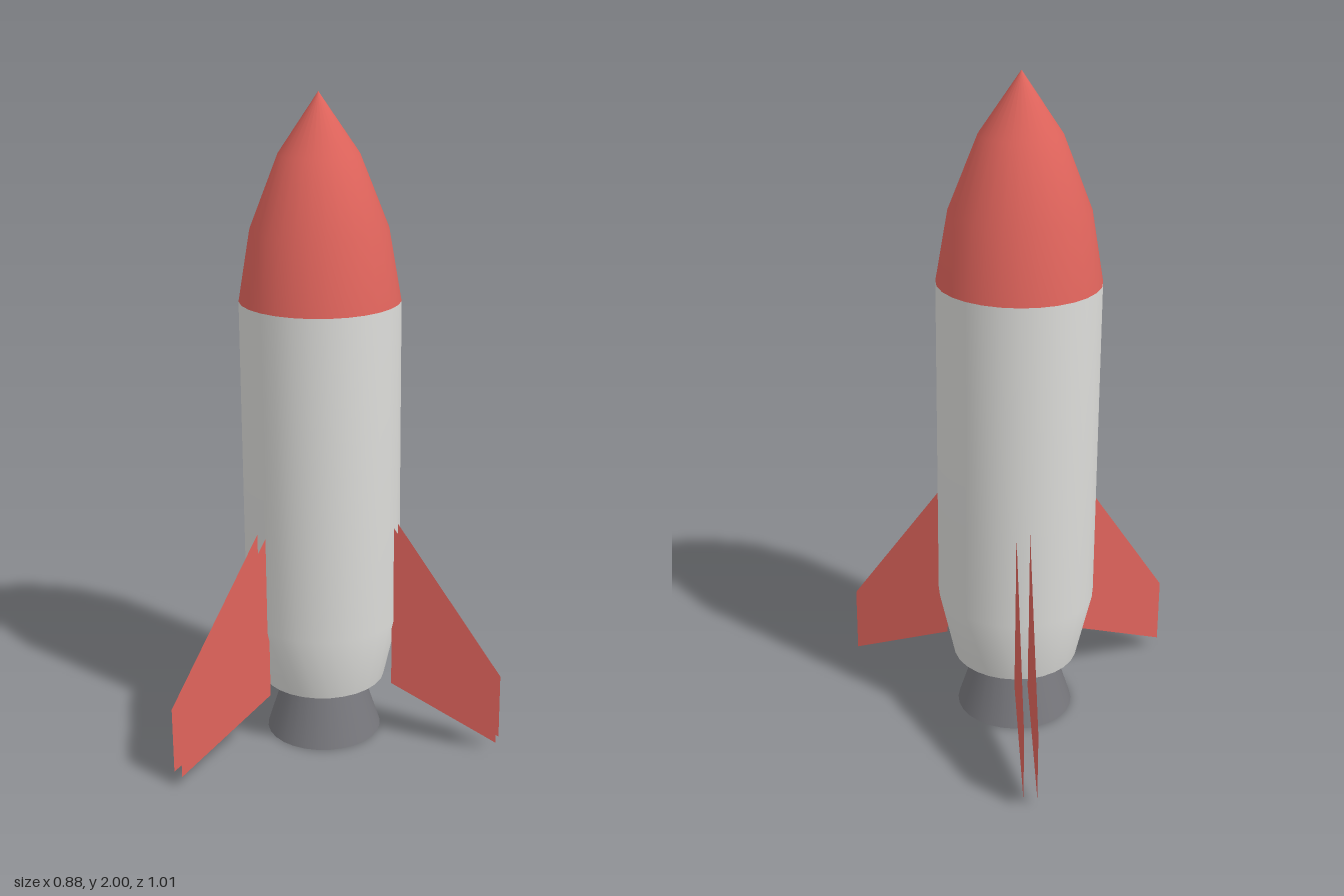
import * as THREE from 'three';

const SEGMENTS = 28;

export function createModel() {
  const red = new THREE.MeshStandardMaterial({ name: 'red', color: 0xe0645c, side: THREE.DoubleSide });
  const white = new THREE.MeshStandardMaterial({ name: 'off white', color: 0xdededb });
  const grey = new THREE.MeshStandardMaterial({ name: 'engine grey', color: 0x77777c, side: THREE.DoubleSide });

  const rocket = new THREE.Group();
  rocket.name = 'rocket';
  // The single fin on the +x side pushes the rocket's axis off centre
  rocket.position.x = -0.137;

  const add = (name, geometry, material, parent = rocket) => {
    const mesh = new THREE.Mesh(geometry, material);
    mesh.name = name;
    parent.add(mesh);
    return mesh;
  };
  // Surface of revolution from [radius, height] pairs, bottom to top
  const lathe = (profile) =>
    new THREE.LatheGeometry(profile.map(([r, y]) => new THREE.Vector2(r, y)), SEGMENTS);

  // Fuselage
  add('noseCone', lathe([[0.24, 1.4], [0.204, 1.61], [0.119, 1.825], [0, 2]]), red);
  add('body', lathe([[0.192, 0.187], [0.24, 0.4], [0.24, 1.4]]), white);
  const base = add('bodyBase', new THREE.CircleGeometry(0.192, SEGMENTS), white);
  base.rotation.x = Math.PI / 2;
  base.position.y = 0.187;

  // Open engine bell
  add('nozzle', lathe([[0.18, 0], [0.12, 0.187]]), grey);

  // Three fins, each a pair of parallel sheets with open edges
  const outline = new THREE.Shape(
    [[0.232, 0.187], [0.572, 0.036], [0.572, 0.245], [0.232, 0.72]].map(([x, y]) => new THREE.Vector2(x, y))
  );
  const sheet = new THREE.ShapeGeometry(outline);
  for (let i = 0; i < 3; i++) {
    const fin = new THREE.Group();
    fin.name = `fin${i + 1}`;
    fin.rotation.y = (i * Math.PI * 2) / 3;
    add('finFrontSheet', sheet, red, fin).position.z = 0.02;
    const back = add('finBackSheet', sheet, red, fin);
    back.position.z = -0.02;
    rocket.add(fin);
  }

  const model = new THREE.Group();
  model.name = 'model';
  model.add(rocket);
  return model;
}
